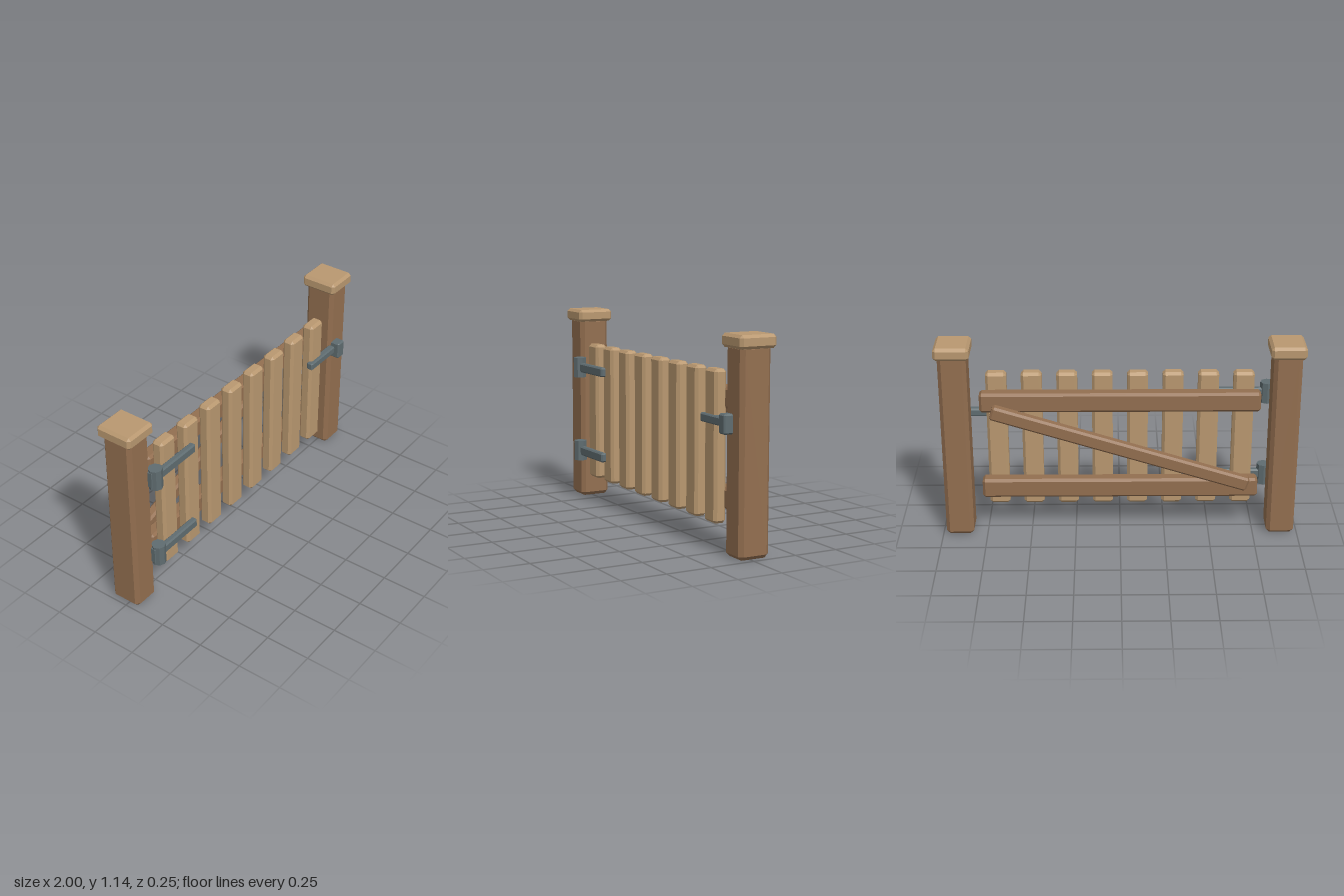
import * as THREE from 'three';
import { ConvexGeometry } from 'three/addons/geometries/ConvexGeometry.js';

const material = (color) => new THREE.MeshStandardMaterial({ color, flatShading: true });

// Box with every edge cut by a single chamfer c
function chamferBox(w, h, d, c) {
  const points = [];
  for (const x of [-1, 1]) for (const y of [-1, 1]) for (const z of [-1, 1]) {
    const [X, Y, Z] = [w / 2, h / 2, d / 2];
    points.push(
      new THREE.Vector3(x * X, y * (Y - c), z * (Z - c)),
      new THREE.Vector3(x * (X - c), y * Y, z * (Z - c)),
      new THREE.Vector3(x * (X - c), y * (Y - c), z * Z),
    );
  }
  return new ConvexGeometry(points);
}

export function createModel() {
  const gate = new THREE.Group();
  gate.name = 'picketGate';
  const darkWood = material(0x936f50);
  const paleWood = material(0xb99870);
  const metal = material(0x5f6c70);

  const add = (name, geometry, mat, x, y, z) => {
    const mesh = new THREE.Mesh(geometry, mat);
    mesh.name = name;
    mesh.position.set(x, y, z);
    gate.add(mesh);
    return mesh;
  };
  // Chamfered block given by its extents on each axis
  const block = (name, mat, [x0, x1], [y0, y1], [z0, z1], c) =>
    add(name, chamferBox(x1 - x0, y1 - y0, z1 - z0, c), mat,
      (x0 + x1) / 2, (y0 + y1) / 2, (z0 + z1) / 2);

  // Posts with caps
  for (const [side, s] of [['right', -1], ['left', 1]]) {
    add(side + 'Post', chamferBox(0.155, 1.085, 0.178, 0.021), darkWood, s * 0.904, 0.5425, -0.019);
    add(side + 'PostCap', chamferBox(0.193, 0.071, 0.213, 0.015), paleWood, s * 0.904, 1.101, -0.019);
  }

  // Horizontal rails
  block('lowerRail', darkWood, [-0.77, 0.77], [0.215, 0.328], [-0.068, 0.012], 0.014);
  block('upperRail', darkWood, [-0.77, 0.77], [0.738, 0.85], [-0.068, 0.012], 0.014);

  // Diagonal brace across the back
  const brace = add('diagonalBrace', chamferBox(1.485, 0.08, 0.06, 0.012), darkWood, -0.003, 0.535, -0.092);
  brace.rotation.z = THREE.MathUtils.degToRad(17.5);

  // Pickets
  for (let i = 0; i < 8; i++) {
    add('picket' + (i + 1), chamferBox(0.114, 0.8, 0.071, 0.015), paleWood, -0.68 + i * 0.1943, 0.543, 0.037);
  }

  // Hinges: plate on the post, knuckle and strap
  for (const [level, y] of [['lower', 0.29], ['upper', 0.795]]) {
    block(level + 'HingePlate', metal, [-0.855, -0.79], [y - 0.05, y + 0.05], [0.06, 0.1], 0.006);
    add(level + 'HingeKnuckle', new THREE.CylinderGeometry(0.039, 0.039, 0.118, 8), metal, -0.816, y, 0.089);
    block(level + 'HingeStrap', metal, [-0.81, -0.5], [y - 0.027, y + 0.027], [0.068, 0.104], 0.008);
  }

  // Latch bar and its catch
  block('latchBar', metal, [0.61, 0.875], [0.664, 0.71], [0.05, 0.09], 0.007);
  block('latchCatch', metal, [0.842, 0.902], [0.635, 0.738], [0.05, 0.12], 0.008);

  return gate;
}
